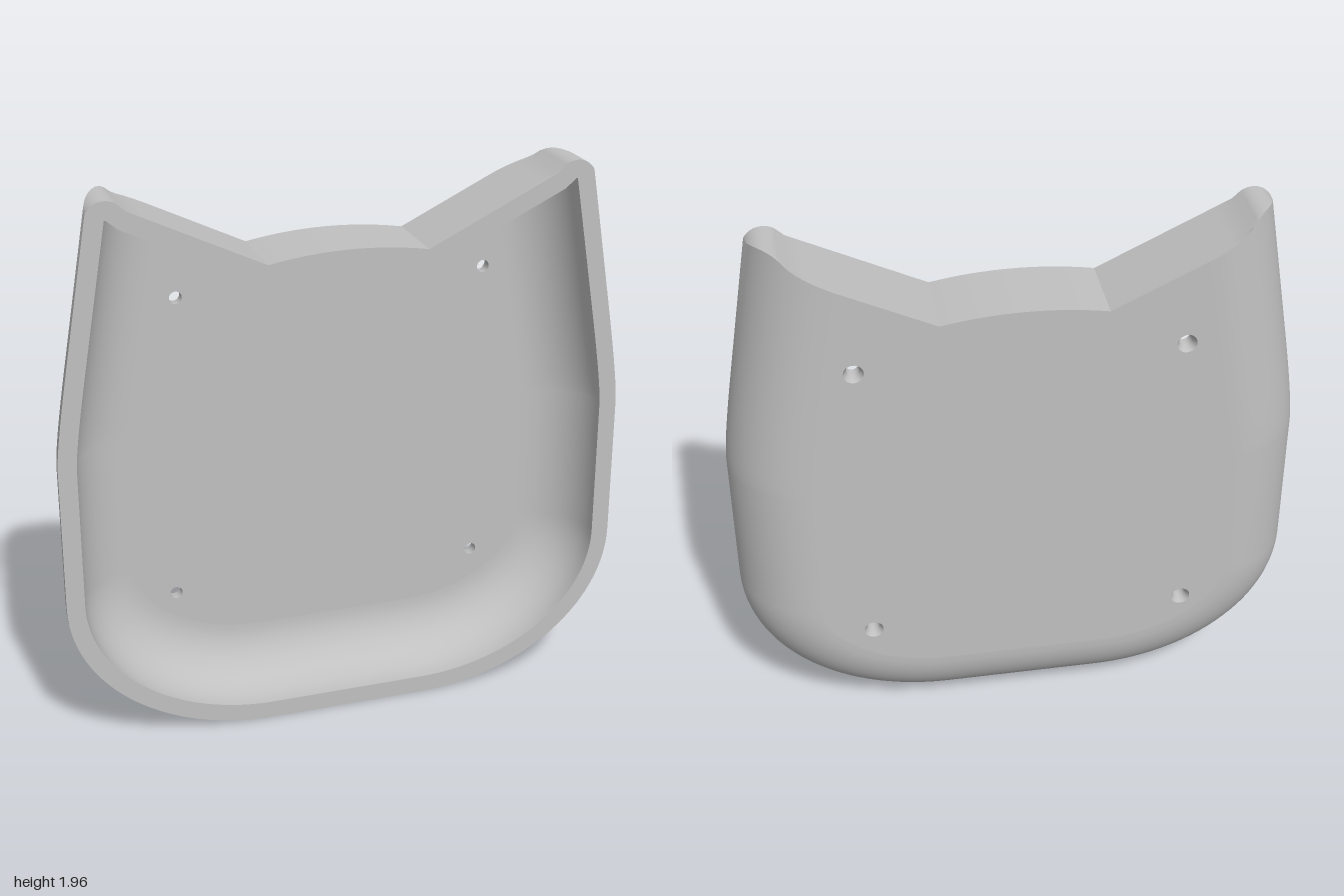
import * as THREE from 'three';
import { toCreasedNormals } from 'three/addons/utils/BufferGeometryUtils.js';

const FRONT = 0.137, RADIUS = 0.274, WALL = 0.063;
const FLOOR = FRONT - RADIUS + WALL, BACK = FRONT - RADIUS;
const HOLES = [[-0.54, 1.545], [0.56, 1.545], [-0.575, 0.445], [0.545, 0.445]];
const HOLE_R = 0.022, SINK_R = 0.034;

const V = (x, y) => new THREE.Vector2(x, y);
const EAR_BASE = V(0.954, 1.4);
const EAR_NORMAL = V(0.9856, 0.169); // outward from the straight outer ear side

// Right half of the bottom and side: points with outward normals
function sideCurve() {
  const list = [{ p: V(0, 0), n: V(0, -1) }];
  const a = 0.72, b = 0.56;
  for (let i = 0; i <= 28; i++) {
    const t = -Math.PI / 2 + (i / 28) * Math.PI / 2;
    const c = Math.cos(t), s = Math.sin(t);
    list.push({ p: V(0.28 + a * c, b + b * s), n: V(c / a, s / b).normalize() });
  }
  const cheek = new THREE.QuadraticBezierCurve(V(1, 1.06), V(1, 1.132), EAR_BASE);
  for (let i = 0; i <= 8; i++) {
    const t = cheek.getTangent(i / 8);
    list.push({ p: cheek.getPoint(i / 8), n: V(t.y, -t.x) });
  }
  return list;
}
const SIDE = sideCurve();

// Right half of the top edge, ear tip to centre, moved inward by w
function topEdge(w) {
  const pts = [], r = 0.07 - w;
  for (let i = 0; i <= 12; i++) {
    const t = THREE.MathUtils.degToRad(9.7 + (i / 12) * 115);
    pts.push(V(0.803 + r * Math.cos(t), 1.887 + r * Math.sin(t)));
  }
  const foot = V(0.735 + 0.436 * w, 1.918 - 0.9 * w);
  const valley = V(0.278 + 0.3 * w, 1.697 - 0.95 * w);
  for (let i = 0; i < 8; i++) pts.push(foot.clone().lerp(valley, i / 8));
  for (let i = 0; i <= 8; i++) {
    const k = 1 - i / 8;
    pts.push(V(valley.x * k, 1.723 - w - (1.723 - w - valley.y) * k * k));
  }
  return pts;
}

// Closed outline: sides and bottom inset by d, cut off by the top edge
function outline(d, w) {
  const half = SIDE.map(({ p, n }) => p.clone().addScaledVector(n, -d));
  const top = topEdge(w);
  const depth = (p) => EAR_BASE.clone().sub(p).dot(EAR_NORMAL) - d;
  const k = top.findIndex((p) => depth(p) >= 0);
  let cut = top[0];
  if (k > 0) {
    const d0 = depth(top[k - 1]), d1 = depth(top[k]);
    cut = top[k - 1].clone().lerp(top[k], -d0 / (d1 - d0));
  }
  top.forEach((p, i) => half.push(i < k ? cut.clone() : p));
  const mirrored = half.slice(1, -1).reverse().map((p) => V(-p.x, p.y));
  return half.concat(mirrored);
}

// Skin through the outlines: outer wall, rim, then inner wall
function shellGeometry() {
  const layers = [], steps = 16;
  const arc = (i) => (i / steps) * Math.PI / 2;
  for (let i = steps; i >= 0; i--) {
    layers.push([outline(RADIUS * (1 - Math.cos(arc(i))), 0), FRONT - RADIUS * Math.sin(arc(i))]);
  }
  const r = RADIUS - WALL;
  for (let i = 0; i <= steps; i++) {
    layers.push([outline(WALL + r * (1 - Math.cos(arc(i))), WALL), FRONT - r * Math.sin(arc(i))]);
  }
  const pos = [], index = [], n = layers[0][0].length;
  layers.forEach(([loop, z]) => loop.forEach((p) => pos.push(p.x, p.y, z)));
  for (let i = 0; i < layers.length - 1; i++) {
    for (let j = 0; j < n; j++) {
      const a = i * n + j, b = i * n + (j + 1) % n;
      index.push(a, b, a + n, b, b + n, a + n);
    }
  }
  const g = new THREE.BufferGeometry();
  g.setAttribute('position', new THREE.Float32BufferAttribute(pos, 3));
  g.setIndex(index);
  return toCreasedNormals(g, THREE.MathUtils.degToRad(28));
}

// Flat plate with the four screw holes
function plateGeometry(loop, holeR, z, flip) {
  const clean = loop.filter((p, i) => p.distanceTo(loop[(i + 1) % loop.length]) > 1e-5);
  const shape = new THREE.Shape(clean);
  for (const [x, y] of HOLES) {
    shape.holes.push(new THREE.Path().absarc(x, y, holeR, 0, Math.PI * 2, true));
  }
  const g = new THREE.ShapeGeometry(shape, 16);
  if (flip) g.index.array.reverse();
  g.computeVertexNormals();
  return g.translate(0, 0, z);
}

export function createModel() {
  const group = new THREE.Group();
  const grey = new THREE.MeshStandardMaterial({ color: 0xc0c0c0 });
  grey.name = 'grey';
  const greyInside = grey.clone();
  greyInside.name = 'grey two-sided';
  greyInside.side = THREE.DoubleSide;
  const add = (name, geometry, material = grey) => {
    const mesh = new THREE.Mesh(geometry, material);
    mesh.name = name;
    group.add(mesh);
    return mesh;
  };

  add('trayWall', shellGeometry());
  add('trayFloor', plateGeometry(outline(RADIUS, WALL), HOLE_R, FLOOR, false));
  add('trayBack', plateGeometry(outline(RADIUS, 0), SINK_R, BACK, true));

  // Countersunk screw holes
  const bore = new THREE.LatheGeometry(
    [V(SINK_R, BACK), V(HOLE_R, BACK + 0.025), V(HOLE_R, FLOOR)], 32);
  bore.rotateX(Math.PI / 2);
  for (const [x, y] of HOLES) add('screwHole', bore, greyInside).position.set(x, y, 0);

  return group;
}
